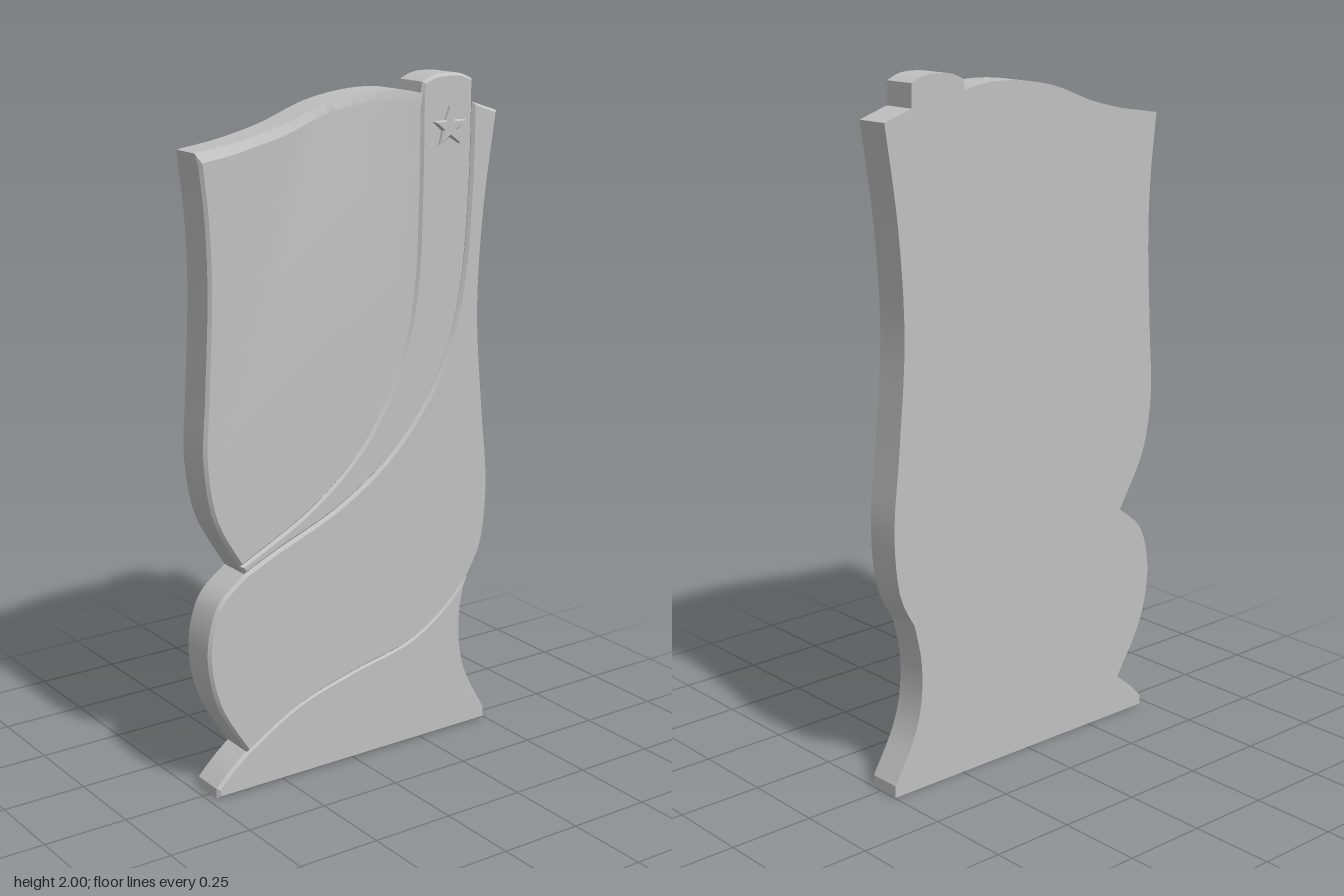
import * as THREE from 'three';
import { toCreasedNormals } from 'three/addons/utils/BufferGeometryUtils.js';

const stone = new THREE.MeshStandardMaterial({ color: 0xc0c0c0 });
stone.name = 'grey stone';

const BACK = -0.062, SLAB_FRONT = 0.03, BEVEL = 0.008;

// Smooth edge through a few points
function edge(pairs, n = 36) {
  const pts = pairs.map(([x, y]) => new THREE.Vector2(x, y));
  return new THREE.SplineCurve(pts).getSpacedPoints(n);
}
const reversed = (pts) => [...pts].reverse();

// Join edges into a closed outline, dropping repeated corners
function outline(...edges) {
  const all = edges.flat();
  return new THREE.Shape(all.filter((p, i) => p.distanceTo(all[(i + 1) % all.length]) > 1e-4));
}

function addMesh(group, name, geometry) {
  const mesh = new THREE.Mesh(toCreasedNormals(geometry, 0.45), stone);
  mesh.name = name;
  group.add(mesh);
}

// Raised relief panel with a chamfered front rim; its back is sunk in the slab
function panelGeometry(shape, front) {
  const thick = 0.01, start = 0.02;
  const g = new THREE.ExtrudeGeometry(shape, {
    depth: front - thick - start, bevelEnabled: true, bevelSegments: 1,
    bevelThickness: thick, bevelSize: BEVEL, bevelOffset: -BEVEL,
  });
  return g.translate(0, 0, start);
}

// Height of the wavy top edge at x
function heightAt(pts, x) {
  for (let i = 1; i < pts.length; i++) {
    if (x <= pts[i].x) {
      const t = (x - pts[i - 1].x) / (pts[i].x - pts[i - 1].x);
      return THREE.MathUtils.lerp(pts[i - 1].y, pts[i].y, t);
    }
  }
  return pts[pts.length - 1].y;
}

export function createModel() {
  const group = new THREE.Group();
  group.name = 'carvedHeadstone';

  // Upper panel edges
  const panelTop = edge([[-0.5, 1.838], [-0.37, 1.858], [-0.24, 1.89], [-0.1, 1.94],
    [0.03, 1.963], [0.14, 1.965], [0.225, 1.95]]);
  const panelRight = edge([[0.225, 1.95], [0.223, 1.66], [0.21, 1.395], [0.158, 1.18],
    [0.035, 0.97], [-0.15, 0.81], [-0.39, 0.685]]);
  const panelLeft = edge([[-0.39, 0.685], [-0.47, 0.83], [-0.499, 1.0], [-0.49, 1.18],
    [-0.476, 1.45], [-0.48, 1.65], [-0.5, 1.838]]);

  // Band edges
  const bandTop = edge([[0.23, 1.98], [0.27, 1.996], [0.317, 2.0], [0.365, 1.996], [0.405, 1.98]], 14);
  const bandRight = edge([[0.405, 1.915], [0.4, 1.66], [0.377, 1.395], [0.318, 1.18],
    [0.22, 1.02], [0.09, 0.89], [-0.07, 0.79], [-0.26, 0.712], [-0.375, 0.66]]);

  // Drape edges
  const drapeTop = edge([[0.405, 1.915], [0.495, 1.885]], 2);
  const drapeRight = edge([[0.495, 1.885], [0.455, 1.6], [0.44, 1.31], [0.462, 1.02],
    [0.485, 0.785], [0.47, 0.6], [0.42, 0.495]]);
  const drapeBottom = edge([[0.42, 0.495], [0.325, 0.4], [0.195, 0.325], [0, 0.28],
    [-0.2, 0.22], [-0.375, 0.12]]);
  const drapeLeft = edge([[-0.375, 0.12], [-0.468, 0.28], [-0.499, 0.44], [-0.465, 0.58], [-0.375, 0.66]]);

  // Base edges
  const baseRight = edge([[0.42, 0.495], [0.397, 0.38], [0.4, 0.26], [0.43, 0.155], [0.497, 0.035]], 24);
  const baseFoot = edge([[0.497, 0], [-0.475, 0]], 1);
  const baseLeft = edge([[-0.475, 0.03], [-0.43, 0.075], [-0.375, 0.12]], 8);

  // Backing slab follows the whole silhouette
  const slab = new THREE.ExtrudeGeometry(
    outline(panelTop, bandTop, drapeTop, drapeRight, baseRight, baseFoot, baseLeft, drapeLeft, panelLeft),
    { depth: SLAB_FRONT - BACK, bevelEnabled: false },
  ).translate(0, 0, BACK);
  addMesh(group, 'backingSlab', slab);

  // Upper panel: its top chamfer deepens toward the right-hand side of the slab
  const upper = panelGeometry(outline(panelTop, panelRight, panelLeft), 0.052);
  const pos = upper.attributes.position;
  for (let i = 0; i < pos.count; i++) {
    const x = pos.getX(i), y = pos.getY(i), z = pos.getZ(i);
    if (y < heightAt(panelTop, x) - 0.013 || z < 0.035) continue;
    if (z > 0.047) pos.setY(i, y - 0.017);
    else pos.setZ(i, THREE.MathUtils.mapLinear(x, -0.5, 0.225, 0.031, 0.05));
  }
  addMesh(group, 'upperPanel', upper);

  // Flowing band, drape and base
  addMesh(group, 'flowingBand', panelGeometry(outline(bandTop, bandRight, reversed(panelRight)), 0.05));
  addMesh(group, 'drape', panelGeometry(
    outline(drapeTop, drapeRight, drapeBottom, drapeLeft, reversed(bandRight)), 0.052));
  addMesh(group, 'base', panelGeometry(
    outline(reversed(drapeBottom), baseRight, baseFoot, baseLeft), 0.046));

  // Raised star at the head of the band
  const starPoints = [];
  for (let i = 0; i < 10; i++) {
    const r = i % 2 ? 0.026 : 0.059, a = Math.PI / 2 + i * Math.PI / 5;
    starPoints.push(new THREE.Vector2(0.317 + r * Math.cos(a), 1.85 + r * Math.sin(a)));
  }
  const star = new THREE.ExtrudeGeometry(new THREE.Shape(starPoints), {
    depth: 0.012, bevelEnabled: true, bevelSegments: 1,
    bevelThickness: 0.005, bevelSize: 0.005, bevelOffset: -0.005,
  }).translate(0, 0, 0.045);
  addMesh(group, 'star', star);

  return group;
}
